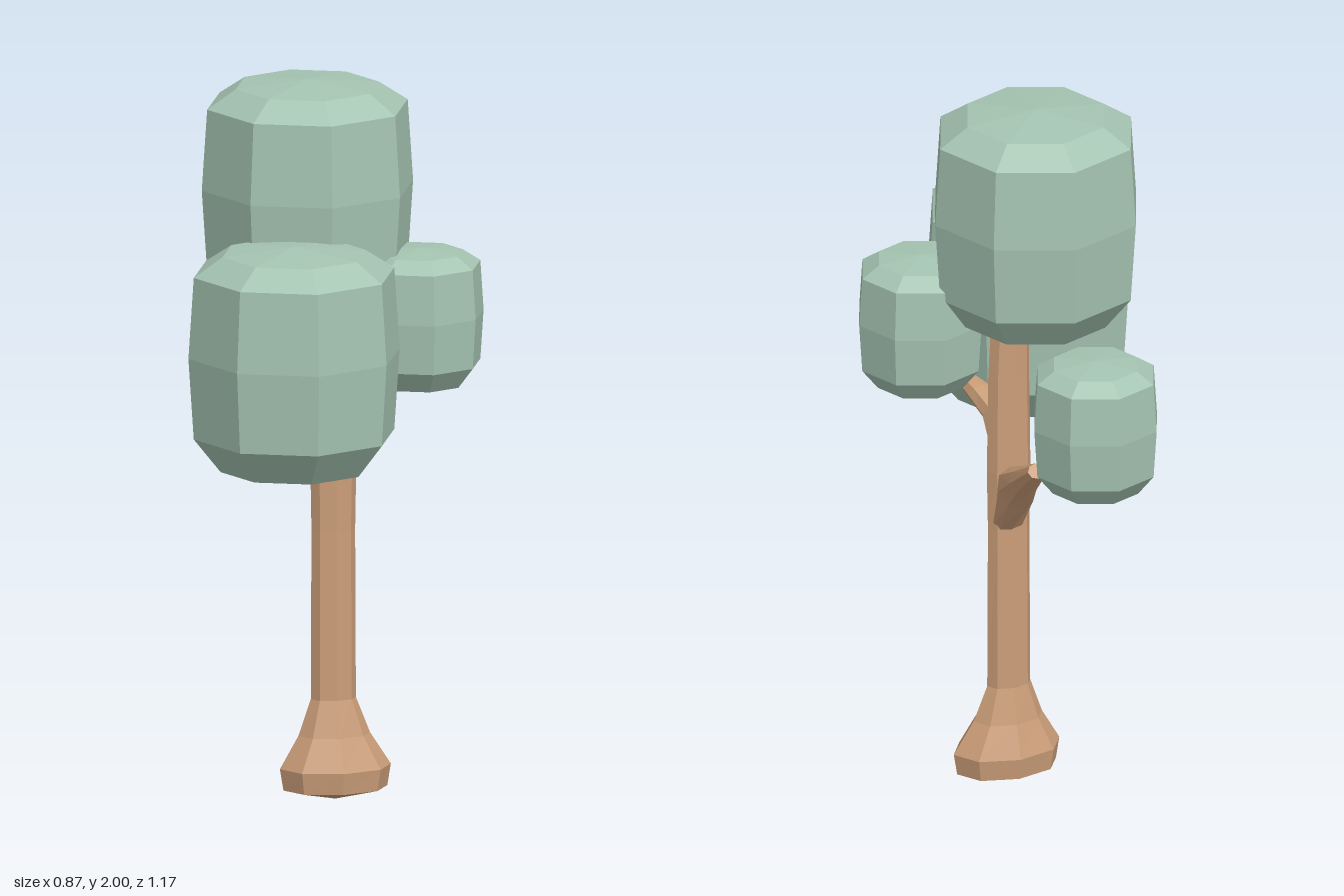
import * as THREE from 'three';

const SIDES = 8;

function flat(geometry) {
  const g = geometry.index ? geometry.toNonIndexed() : geometry;
  g.computeVertexNormals();
  return g;
}

// Elliptical rings joined into a limb; station = [x, y, z, halfWidthX, halfThickness, tilt from +y towards +z]
function limb(stations) {
  const pos = [], index = [];
  for (const [x, y, z, rx, rn, tilt = 0] of stations) {
    for (let j = 0; j < SIDES; j++) {
      const a = (j / SIDES) * Math.PI * 2;
      const n = Math.sin(a) * rn;
      pos.push(x + Math.cos(a) * rx, y + Math.sin(tilt) * n, z - Math.cos(tilt) * n);
    }
  }
  for (let i = 0; i < stations.length - 1; i++) {
    for (let j = 0; j < SIDES; j++) {
      const k = (j + 1) % SIDES;
      const a = i * SIDES + j, b = i * SIDES + k, c = b + SIDES, d = a + SIDES;
      index.push(a, b, c, a, c, d);
    }
  }
  const g = new THREE.BufferGeometry();
  g.setAttribute('position', new THREE.Float32BufferAttribute(pos, 3));
  g.setIndex(index);
  return flat(g);
}

export function createModel() {
  const tree = new THREE.Group();
  tree.name = 'tree';
  const bark = new THREE.MeshStandardMaterial({ color: 0xcb9e79 });
  bark.name = 'bark';
  const leaf = new THREE.MeshStandardMaterial({ color: 0xa5c4b2 });
  leaf.name = 'leaf';

  const add = (name, geometry, material) => {
    const mesh = new THREE.Mesh(geometry, material);
    mesh.name = name;
    tree.add(mesh);
    return mesh;
  };

  // Trunk with a flared foot
  add('trunk', limb([
    [0.045, 0, -0.015, 0, 0],
    [0.045, 0.03, -0.015, 0.145, 0.092],
    [0.045, 0.09, -0.015, 0.155, 0.1],
    [0.042, 0.18, -0.016, 0.1, 0.066],
    [0.04, 0.28, -0.018, 0.063, 0.04],
    [0.04, 0.75, -0.018, 0.061, 0.037],
    [0.04, 0.92, -0.018, 0.064, 0.04],
    [0.04, 1.2, -0.018, 0.06, 0.038],
    [0.035, 1.42, -0.02, 0.055, 0.036],
    [0.035, 1.42, -0.02, 0, 0],
  ]), bark);

  // Two side branches
  add('backBranch', limb([
    [0.045, 0.76, -0.025, 0.045, 0.03, -0.2],
    [0.05, 0.895, -0.095, 0.052, 0.064, -0.8],
    [0.07, 0.965, -0.2, 0.042, 0.042, -0.97],
    [0.09, 1.06, -0.345, 0.028, 0.022, -0.97],
    [0.09, 1.06, -0.345, 0, 0, -0.97],
  ]), bark);
  add('frontBranch', limb([
    [0.045, 0.97, -0.02, 0.045, 0.03, 0.2],
    [0.055, 1.075, 0.025, 0.045, 0.045, 0.8],
    [0.075, 1.105, 0.09, 0.038, 0.034, 1.2],
    [0.09, 1.125, 0.17, 0.03, 0.027, 0.9],
    [0.09, 1.125, 0.17, 0, 0, 0.9],
  ]), bark);

  // Rounded octagonal crowns, all one profile at two sizes
  const profile = [[0, 0], [0.205, 0.04], [0.28, 0.135], [0.295, 0.36], [0.28, 0.585], [0.2, 0.638], [0, 0.657]]
    .map(([r, y]) => new THREE.Vector2(r, y));
  const crown = flat(new THREE.LatheGeometry(profile, SIDES));
  const crowns = [
    ['topCrown', -0.023, 1.343, -0.057, 1],
    ['frontCrown', -0.143, 0.958, 0.29, 1],
    ['leftCrown', 0.253, 1.148, 0.094, 0.61],
    ['backCrown', -0.056, 0.99, -0.405, 0.61],
  ];
  for (const [name, x, y, z, s] of crowns) {
    const mesh = add(name, crown, leaf);
    mesh.position.set(x, y, z);
    mesh.scale.setScalar(s);
  }
  return tree;
}
